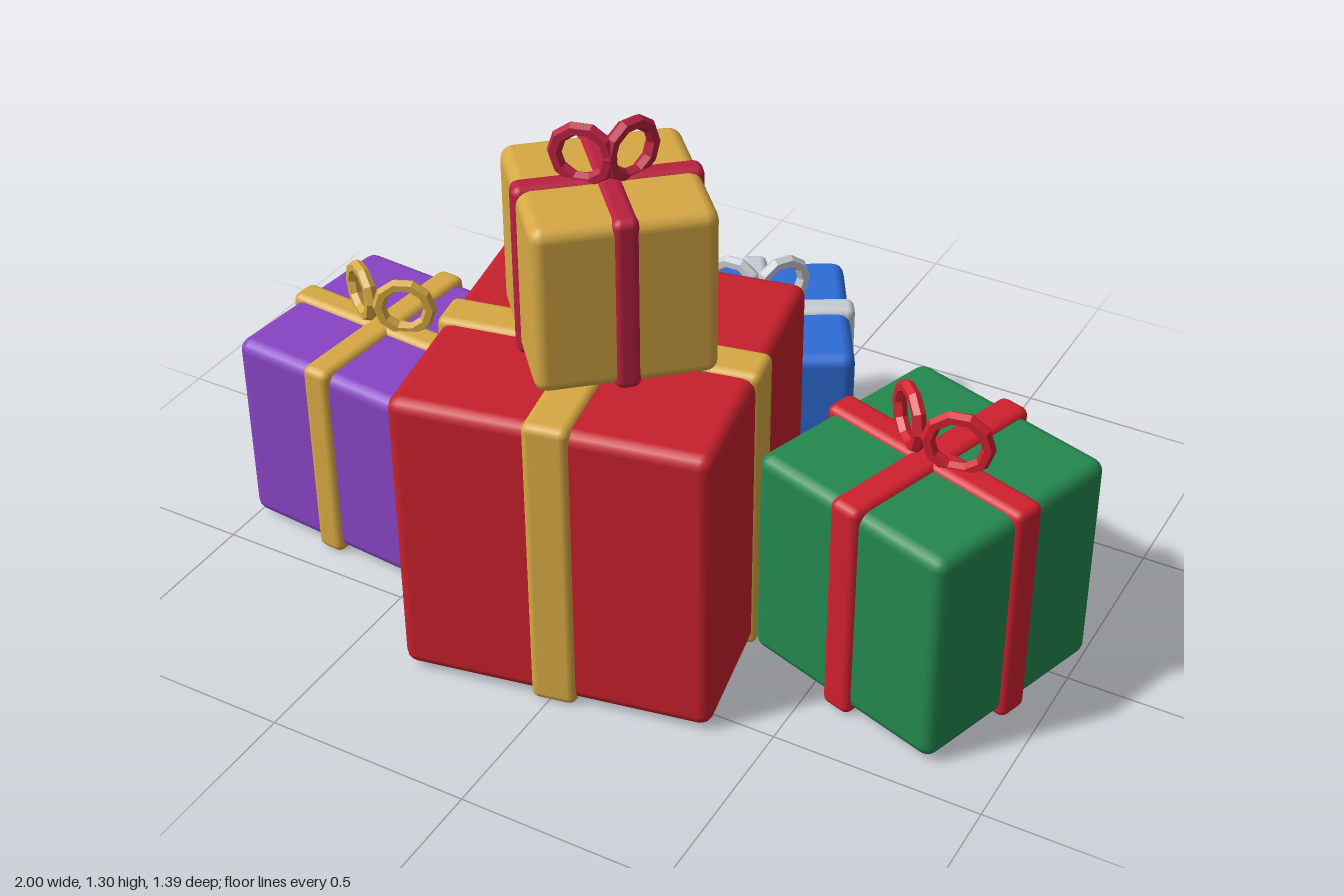
import * as THREE from 'three';
import { RoundedBoxGeometry } from 'three/addons/geometries/RoundedBoxGeometry.js';

function material(name, color) {
  const m = new THREE.MeshStandardMaterial({ color });
  m.name = name;
  return m;
}

function mesh(name, geometry, mat, parent) {
  const m = new THREE.Mesh(geometry, mat);
  m.name = name;
  parent.add(m);
  return m;
}

// Faceted ring used for each bow loop
function loopGeometry(radius) {
  const g = new THREE.TorusGeometry(radius, 0.0165, 6, 10).toNonIndexed();
  g.computeVertexNormals();
  return g;
}

// One wrapped cube: box, two crossing ribbon bands and a two-loop bow
function makeGift({ name, size, band, x, y = 0, z, turn, paper, ribbon, loop = 0.062, lift = 0.06 }) {
  const gift = new THREE.Group();
  gift.name = name;
  gift.position.set(x, y, z);
  gift.rotation.y = turn;

  const mid = band / 2;
  mesh('box', new RoundedBoxGeometry(size, size, size, 2, 0.03), paper, gift).position.y = mid;

  const width = size * 0.147;
  mesh('ribbonFrontToBack', new RoundedBoxGeometry(width, band, band, 2, 0.02), ribbon, gift).position.y = mid;
  mesh('ribbonSideToSide', new RoundedBoxGeometry(band, band, width, 2, 0.02), ribbon, gift).position.y = mid;

  for (const side of [-1, 1]) {
    const ring = mesh(side > 0 ? 'leftBowLoop' : 'rightBowLoop', loopGeometry(loop), ribbon, gift);
    ring.position.set(side * size * 0.13, band + lift, 0);
    ring.rotation.y = side * 0.5;
  }
  return gift;
}

export function createModel() {
  const red = material('red paper', 0xc6202c);
  const scarlet = material('scarlet ribbon', 0xd0202e);
  const crimson = material('crimson ribbon', 0xb8203f);
  const gold = material('gold', 0xd6a843);
  const green = material('green paper', 0x23884f);
  const purple = material('purple paper', 0x8844c4);
  const blue = material('blue paper', 0x2d6cd6);
  const silver = material('silver ribbon', 0xc8ccd2);

  const model = new THREE.Group();
  model.name = 'giftPile';

  // Large gift in the middle carries another gift, so it has no bow
  const large = makeGift({ name: 'largeRedGift', size: 0.738, band: 0.76, x: -0.06, z: 0.27, turn: 0.19, paper: red, ribbon: gold });
  large.remove(...large.children.filter((c) => c.name.endsWith('BowLoop')));

  model.add(
    large,
    makeGift({ name: 'topGoldGift', size: 0.405, band: 0.42, x: -0.043, y: 0.755, z: 0.267, turn: 0.73, paper: gold, ribbon: crimson, lift: 0.053 }),
    makeGift({ name: 'purpleGift', size: 0.505, band: 0.53, x: -0.733, z: 0.17, turn: -0.085, paper: purple, ribbon: gold }),
    makeGift({ name: 'greenGift', size: 0.548, band: 0.575, x: 0.664, z: 0.082, turn: -0.31, paper: green, ribbon: scarlet, loop: 0.068 }),
    makeGift({ name: 'blueGift', size: 0.455, band: 0.48, x: -0.015, z: -0.395, turn: 0.52, paper: blue, ribbon: silver })
  );
  return model;
}
